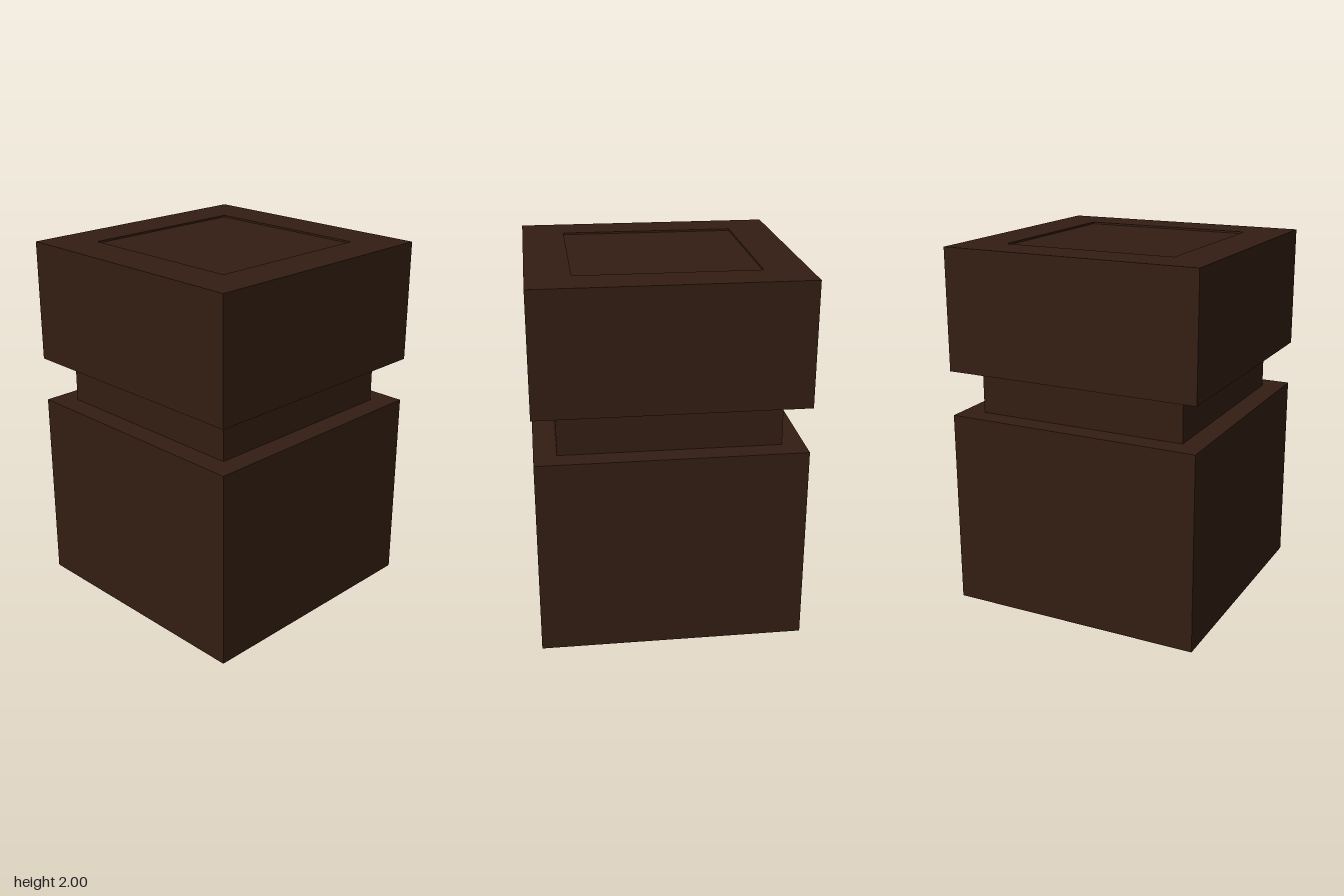
import * as THREE from 'three';

const material = new THREE.MeshStandardMaterial({ color: 0x331d12 });

// Square block spanning a range of heights
function block(name, half, y0, y1) {
  const mesh = new THREE.Mesh(new THREE.BoxGeometry(half * 2, y1 - y0, half * 2), material);
  mesh.name = name;
  mesh.position.y = (y0 + y1) / 2;
  return mesh;
}

function square(Type, half) {
  return new Type([[-1, -1], [1, -1], [1, 1], [-1, 1]].map(([x, y]) => new THREE.Vector2(x * half, y * half)));
}

// Upper block with a shallow square recess in its top
function recessedCap(half, recessHalf, y0, y1, depth) {
  const outline = square(THREE.Shape, half);
  outline.holes.push(square(THREE.Path, recessHalf));
  const rimGeometry = new THREE.ExtrudeGeometry(outline, { depth, bevelEnabled: false });
  rimGeometry.rotateX(-Math.PI / 2).translate(0, y1 - depth, 0);
  const rim = new THREE.Mesh(rimGeometry, material);
  rim.name = 'capRim';

  const cap = new THREE.Group();
  cap.name = 'cap';
  cap.add(block('capBody', half, y0, y1 - depth), rim);
  return cap;
}

export function createModel() {
  const model = new THREE.Group();
  model.name = 'steppedBlock';
  model.add(
    block('base', 0.711, 0, 1.085),
    block('neck', 0.591, 1.085, 1.333),
    recessedCap(0.716, 0.482, 1.333, 2, 0.01),
  );
  return model;
}
